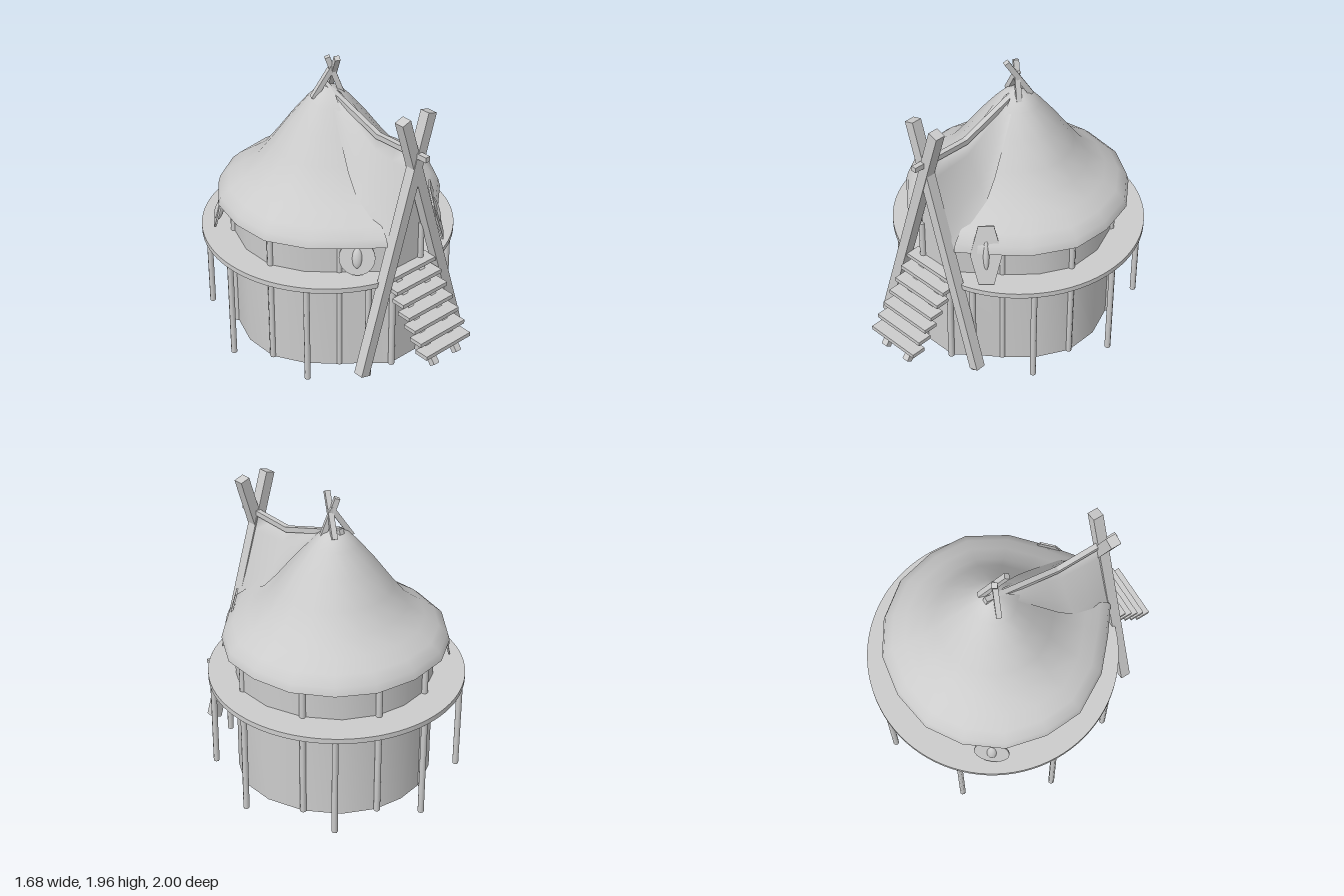
import * as THREE from 'three';

const V = (x, y, z) => new THREE.Vector3(x, y, z);

export function createModel() {
  const root = new THREE.Group();
  const mat = new THREE.MeshStandardMaterial({ color: 0xcccccc });
  const thin = new THREE.MeshStandardMaterial({ color: 0xcccccc, side: THREE.DoubleSide });

  const add = (name, geo, m = mat, parent = root) => {
    const mesh = new THREE.Mesh(geo, m);
    mesh.name = name;
    parent.add(mesh);
    return mesh;
  };

  // Skin stretched over equal-length rows of points
  const loft = (rows) => {
    const n = rows[0].length, idx = [];
    for (let i = 0; i < rows.length - 1; i++) {
      for (let j = 0; j < n - 1; j++) {
        const a = i * n + j, b = a + 1, c = a + n, d = c + 1;
        idx.push(a, b, d, a, d, c);
      }
    }
    const g = new THREE.BufferGeometry().setFromPoints(rows.flat());
    g.setIndex(idx);
    g.computeVertexNormals();
    return g;
  };

  // Square beam between two points
  const beam = (name, a, b, w, d = w) => {
    const m = add(name, new THREE.BoxGeometry(w, d, a.distanceTo(b)));
    m.position.copy(a).add(b).multiplyScalar(0.5);
    m.lookAt(b);
    return m;
  };

  const post = (name, x, z, h, r = 0.02) =>
    add(name, new THREE.CylinderGeometry(r, r, h, 8)).position.set(x, h / 2, z);

  // Half outline (back to front) mirrored into a full one
  const mirrored = (half) => [
    ...half.slice(1).reverse().map(([x, z]) => [-x, z]), ...half];

  // Teardrop wall, open underneath
  const wallPlan = mirrored([[0, -0.79], [0.2, -0.76], [0.4, -0.65], [0.56, -0.46], [0.65, -0.22],
    [0.65, 0.02], [0.54, 0.22], [0.38, 0.38], [0.24, 0.49], [0.12, 0.6]]);
  add('wall', loft([0, 1.04].map((y) => wallPlan.map(([x, z]) => V(x, y, z)))), thin);

  const panel = new THREE.Shape([[-0.12, 0], [0.12, 0], [0.12, 1.13], [0, 1.42], [-0.12, 1.13]]
    .map(([x, y]) => new THREE.Vector2(x, y)));
  add('doorPanel', new THREE.ShapeGeometry(panel), thin).position.z = 0.595;

  for (const s of [-1, 1]) {
    for (const [x, z] of [[0.2, -0.77], [0.56, -0.46], [0.645, 0.02], [0.37, 0.37], [0.12, 0.6]]) {
      post('wallPost', s * x, z, 1.0, 0.021);
    }
  }

  // Round deck, cut straight at the entrance
  const cut = Math.asin(0.79 / 0.84);
  const deck = new THREE.Shape();
  deck.absarc(0, -0.16, 0.84, Math.PI - cut, Math.PI * 2 + cut, false);
  const deckGeo = new THREE.ExtrudeGeometry(deck, { depth: 0.035, bevelEnabled: false, curveSegments: 40 });
  add('deck', deckGeo.rotateX(Math.PI / 2)).position.y = 0.73;

  for (const deg of [0, 43, 88, 129, 157]) {
    for (const s of deg ? [-1, 1] : [1]) {
      const a = THREE.MathUtils.degToRad(deg);
      post('deckPost', s * 0.81 * Math.sin(a), -0.16 - 0.81 * Math.cos(a), 0.7);
    }
  }

  // Roof: bell profile scaled along the eave outline, open at the front
  const profile = [[1, 0.96], [0.98, 1.015], [0.9, 1.07], [0.78, 1.13], [0.63, 1.21], [0.5, 1.335],
    [0.35, 1.49], [0.2, 1.63], [0.11, 1.7], [0, 1.725]];
  const roofHeight = (s) => {
    const i = Math.max(1, profile.findIndex(([f]) => f <= s));
    const [a, ya] = profile[i - 1], [b, yb] = profile[i];
    return ya + (yb - ya) * Math.min(1, Math.max(0, (a - s) / (a - b)));
  };
  const zc = -0.14;
  const eave = mirrored([[0, -0.875], [0.28, -0.83], [0.5, -0.69], [0.67, -0.47], [0.735, -0.2],
    [0.72, 0.06], [0.57, 0.32], [0.37, 0.5], [0.2, 0.63]]);
  add('roof', loft(profile.map(([s, y]) =>
    eave.map(([x, z]) => V(x * s, y, zc + (z - zc) * s)))), thin);

  // Steep tent over the entrance: [z, half width, ridge height]
  const tent = [[-0.12, 0.02, 1.715], [0, 0.08, 1.66], [0.12, 0.13, 1.615], [0.23, 0.17, 1.565],
    [0.33, 0.195, 1.53], [0.48, 0.2, 1.535], [0.62, 0.2, 1.55]];
  add('entranceRoof', loft(tent.map(([z, w, ridge]) => {
    const foot = roofHeight(Math.min(1, Math.hypot(w, z - zc) / 0.785)) - 0.005;
    return Array.from({ length: 13 }, (_, i) => {
      const t = i / 6 - 1;
      return V(w * t, foot + (ridge - foot) * (1 - Math.abs(t)) ** 1.15, z);
    });
  })), thin);

  // Ridge beams
  beam('ridgeBeam', V(0, 1.565, 0.755), V(0, 1.55, 0.31), 0.035);
  beam('ridgeBeam', V(0, 1.55, 0.32), V(0, 1.725, -0.2), 0.035);

  // Crossed sticks on the peak
  beam('peakStick', V(0.06, 1.69, -0.2), V(-0.01, 1.95, -0.05), 0.035);
  beam('peakStick', V(0.08, 1.62, -0.08), V(-0.015, 1.93, -0.14), 0.035);
  beam('peakStick', V(-0.11, 1.66, -0.17), V(0.02, 1.87, -0.12), 0.035);

  // Crossed poles at the entrance
  beam('entrancePole', V(-0.43, 0.1, 0.65), V(0.1, 1.82, 0.65), 0.07);
  beam('entrancePole', V(0.41, 0.12, 0.645), V(-0.11, 1.82, 0.645), 0.07);

  // Stairs
  for (const x of [-0.1, 0.1]) beam('stairStringer', V(x, 0.2, 0.975), V(x, 0.69, 0.6), 0.045);
  for (let i = 0; i < 7; i++) {
    add('stairTread', new THREE.BoxGeometry(0.39, 0.028, 0.1))
      .position.set(-0.005, 0.305 + i * 0.07, 0.95 - i * 0.055);
  }

  // Shields leaning against the wall, facing outwards
  const shield = (name, shape, bossSize, pos, yaw) => {
    const g = new THREE.Group();
    g.name = name;
    add('shieldBoard', new THREE.ExtrudeGeometry(shape, { depth: 0.012, bevelEnabled: false, curveSegments: 10 }), mat, g);
    add('shieldBoss', new THREE.SphereGeometry(1, 12, 8), mat, g).scale.set(...bossSize);
    g.rotation.set(-0.25, yaw, 0, 'YXZ');
    g.position.copy(pos);
    root.add(g);
  };
  const hex = new THREE.Shape([[-0.05, -0.2], [0.05, -0.2], [0.1, 0], [0.05, 0.2], [-0.05, 0.2], [-0.1, 0]]
    .map(([x, y]) => new THREE.Vector2(x, y)));
  const disc = new THREE.Shape().absarc(0, 0, 0.115, 0, Math.PI * 2, false);
  shield('longShield', hex, [0.022, 0.11, 0.03], V(0.35, 0.945, 0.495), Math.PI / 4);
  shield('roundShield', disc, [0.035, 0.075, 0.03], V(-0.31, 0.855, 0.47), -Math.PI / 4);
  shield('roundShield', disc, [0.035, 0.075, 0.03], V(-0.615, 0.865, -0.54), -2.27);

  return root;
}
